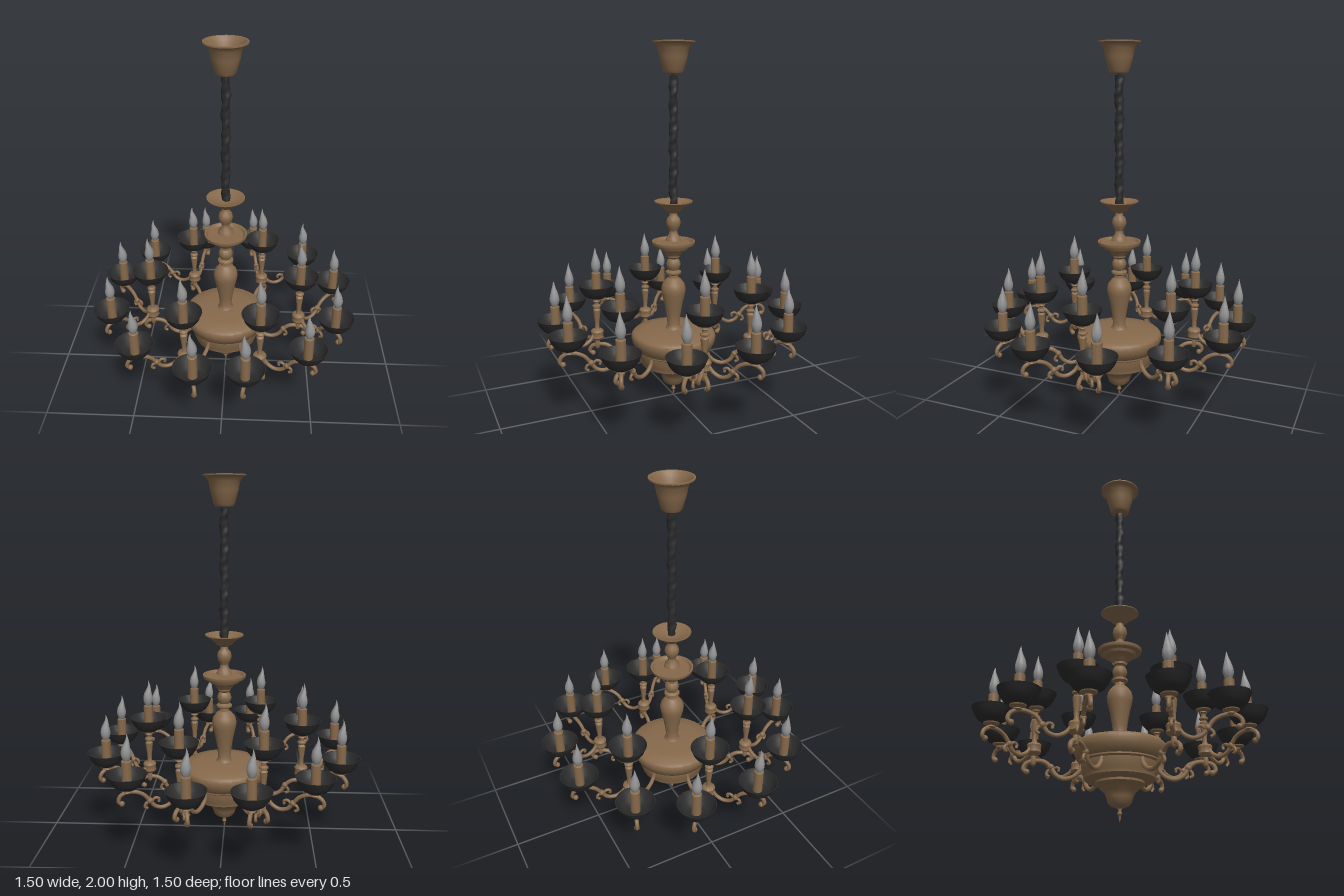
import * as THREE from 'three';
import { toCreasedNormals } from 'three/addons/utils/BufferGeometryUtils.js';

const material = (name, color) => {
  const m = new THREE.MeshStandardMaterial({ color, side: THREE.DoubleSide });
  m.name = name;
  return m;
};
const bronze = material('aged bronze', 0x86694b);
const black = material('black iron', 0x2b2b2b);
const glass = material('frosted glass', 0x929292);

// Turned shape from [radius, height] pairs listed from bottom to top
function turned(profile, sides = 20) {
  const pts = profile.map(([r, y]) => new THREE.Vector2(r, y));
  return toCreasedNormals(new THREE.LatheGeometry(pts, sides), 0.7);
}

// Bent rod in the xy plane through [x, y] points
function rod(points, radius, segments = 36) {
  const curve = new THREE.CatmullRomCurve3(points.map(([x, y]) => new THREE.Vector3(x, y, 0)));
  return new THREE.TubeGeometry(curve, segments, radius, 8, false);
}

function add(parent, name, geometry, mat, x = 0, y = 0, z = 0) {
  const mesh = new THREE.Mesh(geometry, mat);
  mesh.name = name;
  mesh.position.set(x, y, z);
  parent.add(mesh);
  return mesh;
}

// Candle parts, with height 0 at the rim of the dish
const dishGeo = turned([[0.02, -0.083], [0.045, -0.078], [0.07, -0.062], [0.088, -0.038],
  [0.098, -0.012], [0.104, 0], [0.1, 0], [0.084, -0.034], [0.062, -0.057], [0, -0.07]], 24);
const sleeveGeo = turned([[0.026, -0.068], [0.026, 0.068], [0.02, 0.072], [0, 0.072]], 14);
const collarGeo = turned([[0.012, -0.108], [0.022, -0.1], [0.018, -0.093], [0.04, -0.084], [0.042, -0.076]], 14);
const flameGeo = turned([[0.014, 0.07], [0.022, 0.085], [0.027, 0.105], [0.026, 0.122], [0.021, 0.143],
  [0.014, 0.165], [0.008, 0.183], [0.004, 0.2], [0, 0.216]], 14);
{
  // Lean the tip of the flame sideways
  const p = flameGeo.attributes.position;
  for (let i = 0; i < p.count; i++) {
    const t = Math.max(0, (p.getY(i) - 0.15) / 0.066);
    p.setX(i, p.getX(i) - 0.008 * Math.sin(t * 2.6));
  }
}

function candle(x, rim, z, name) {
  const g = new THREE.Group();
  g.name = name;
  g.position.set(x, rim, z);
  add(g, 'drip dish', dishGeo, black);
  add(g, 'dish collar', collarGeo, bronze);
  add(g, 'candle sleeve', sleeveGeo, bronze);
  add(g, 'flame bulb', flameGeo, glass);
  return g;
}

// Large arm from the bowl, reaching out along +x
const mainArmGeo = rod([[0.19, 0.29], [0.205, 0.25], [0.24, 0.22], [0.285, 0.212], [0.325, 0.232],
  [0.352, 0.272], [0.39, 0.298], [0.44, 0.3], [0.478, 0.285], [0.488, 0.258], [0.47, 0.243]], 0.012, 48);
const mainCurlGeo = rod([[0.345, 0.262], [0.365, 0.25], [0.37, 0.23], [0.355, 0.222]], 0.008, 14);
// Small arm from the hub to an outer candle
const smallArmGeo = rod([[0.025, 0.36], [0.05, 0.332], [0.09, 0.315], [0.13, 0.325], [0.158, 0.358],
  [0.19, 0.395], [0.235, 0.415], [0.28, 0.415], [0.312, 0.395], [0.318, 0.368], [0.3, 0.353]], 0.011, 48);
const smallCurlGeo = rod([[0.155, 0.352], [0.178, 0.345], [0.184, 0.325], [0.17, 0.316]], 0.008, 14);
const innerCurlGeo = rod([[0.15, 0.35], [0.13, 0.37], [0.11, 0.364], [0.112, 0.348]], 0.008, 14);
const jointGeo = new THREE.SphereGeometry(0.017, 10, 8);
const tipGeo = new THREE.SphereGeometry(0.015, 10, 8);
// Hub and baluster that carry the inner candle
const hubGeo = turned([[0, 0.27], [0.012, 0.28], [0.016, 0.3], [0.013, 0.325], [0.032, 0.336], [0.038, 0.345],
  [0.034, 0.362], [0.038, 0.38], [0.032, 0.39], [0.016, 0.396], [0.012, 0.41], [0.014, 0.44], [0.02, 0.49],
  [0.022, 0.51], [0.013, 0.52], [0.024, 0.528], [0.024, 0.536], [0.013, 0.544], [0.015, 0.575]], 14);

// Each branch: inner candle position, then its two outer candle positions (x, z)
const branches = [
  [[0.435, 0.018], [0.645, -0.16], [0.63, 0.21]],
  [[0.205, 0.39], [0.46, 0.48], [0.13, 0.65]],
  [[-0.21, 0.39], [-0.14, 0.65], [-0.465, 0.48]],
  [[-0.44, 0], [-0.645, 0.182], [-0.64, -0.19]],
  [[-0.22, -0.38], [-0.48, -0.46], [-0.16, -0.645]],
  [[0.215, -0.38], [0.155, -0.645], [0.475, -0.46]],
];

function branch([[hx, hz], ...outer]) {
  const g = new THREE.Group();
  g.name = 'branch';
  const arm = new THREE.Group();
  arm.name = 'main arm';
  arm.rotation.y = -Math.atan2(hz, hx);
  add(arm, 'main arm rod', mainArmGeo, bronze);
  add(arm, 'main arm curl', mainCurlGeo, bronze);
  add(arm, 'arm joint', jointGeo, bronze, 0.35, 0.27);
  add(arm, 'scroll end', tipGeo, bronze, 0.47, 0.245);
  g.add(arm);
  add(g, 'hub baluster', hubGeo, bronze, hx, 0, hz);
  g.add(candle(hx, 0.663, hz, 'inner candle'));
  for (const [x, z] of outer) {
    const small = new THREE.Group();
    small.name = 'small arm';
    small.position.set(hx, 0, hz);
    small.rotation.y = -Math.atan2(z - hz, x - hx);
    add(small, 'small arm rod', smallArmGeo, bronze);
    add(small, 'small arm lower curl', smallCurlGeo, bronze);
    add(small, 'small arm upper curl', innerCurlGeo, bronze);
    add(small, 'arm joint', jointGeo, bronze, 0.158, 0.358);
    add(small, 'scroll end', tipGeo, bronze, 0.302, 0.356);
    g.add(small, candle(x, 0.518, z, 'outer candle'));
  }
  return g;
}

// Lumpy twisted chain sleeve
function chainGeometry() {
  const geo = new THREE.CylinderGeometry(1, 1, 0.69, 12, 60, true);
  const p = geo.attributes.position;
  for (let i = 0; i < p.count; i++) {
    const y = p.getY(i), a = Math.atan2(p.getZ(i), p.getX(i));
    const r = 0.0225 + 0.003 * Math.sin(2 * a + y * 55) + 0.0015 * Math.sin(y * 130 + a);
    p.setX(i, Math.cos(a) * r + 0.002 * Math.sin(y * 31));
    p.setZ(i, Math.sin(a) * r + 0.002 * Math.cos(y * 27));
  }
  geo.computeVertexNormals();
  return geo;
}

export function createModel() {
  const model = new THREE.Group();
  model.name = 'chandelier';

  // Ceiling canopy, open at the top, and the chain
  add(model, 'canopy', turned([[0, 1.835], [0.048, 1.837], [0.056, 1.85], [0.075, 1.92], [0.084, 1.965],
    [0.098, 1.985], [0.115, 1.993], [0.115, 2], [0.105, 2], [0.09, 1.982], [0.078, 1.96], [0.05, 1.855], [0, 1.85]], 28), bronze);
  add(model, 'canopy pin', new THREE.CylinderGeometry(0.01, 0.01, 0.05, 8), black, 0, 1.825);
  add(model, 'chain', chainGeometry(), black, 0, 1.48);

  // Turned central column
  add(model, 'upper column', turned([[0.045, 0.93], [0.04, 0.945], [0.025, 0.965], [0.022, 0.985], [0.034, 1.005],
    [0.041, 1.03], [0.035, 1.055], [0.022, 1.07], [0.02, 1.085], [0.04, 1.095], [0.05, 1.105], [0.062, 1.118],
    [0.088, 1.135], [0.106, 1.147], [0.106, 1.152], [0.095, 1.15], [0.06, 1.128], [0, 1.115]], 24), bronze);
  add(model, 'middle tray', turned([[0.04, 0.845], [0.052, 0.862], [0.062, 0.875], [0.085, 0.885], [0.092, 0.9],
    [0.116, 0.906], [0.12, 0.914], [0.12, 0.926], [0.11, 0.926], [0.1, 0.912], [0, 0.91]], 28), bronze);
  add(model, 'vase column', turned([[0.06, 0.4], [0.042, 0.42], [0.035, 0.44], [0.04, 0.49], [0.052, 0.56],
    [0.066, 0.62], [0.07, 0.65], [0.062, 0.68], [0.042, 0.705], [0.028, 0.715], [0.026, 0.73], [0.044, 0.74],
    [0.044, 0.75], [0.028, 0.76], [0.036, 0.775], [0.041, 0.795], [0.034, 0.815], [0.025, 0.825], [0.035, 0.835],
    [0.035, 0.85], [0.045, 0.86]], 24), bronze);

  // Stepped bowl and bottom finial
  add(model, 'bowl', turned([[0.11, 0.195], [0.17, 0.2], [0.184, 0.21], [0.186, 0.225], [0.194, 0.24], [0.2, 0.285],
    [0.21, 0.292], [0.21, 0.3], [0.218, 0.304], [0.236, 0.34], [0.242, 0.365], [0.238, 0.385],
    [0.222, 0.398], [0.15, 0.408], [0, 0.418]], 28), bronze);
  add(model, 'finial', turned([[0, 0], [0.005, 0.015], [0.006, 0.03], [0.013, 0.04], [0.008, 0.052], [0.011, 0.065],
    [0.045, 0.078], [0.06, 0.092], [0.068, 0.12], [0.08, 0.145], [0.108, 0.17], [0.125, 0.185], [0.126, 0.2]], 24), bronze);

  // Six branches of three candles
  for (const b of branches) model.add(branch(b));
  return model;
}
